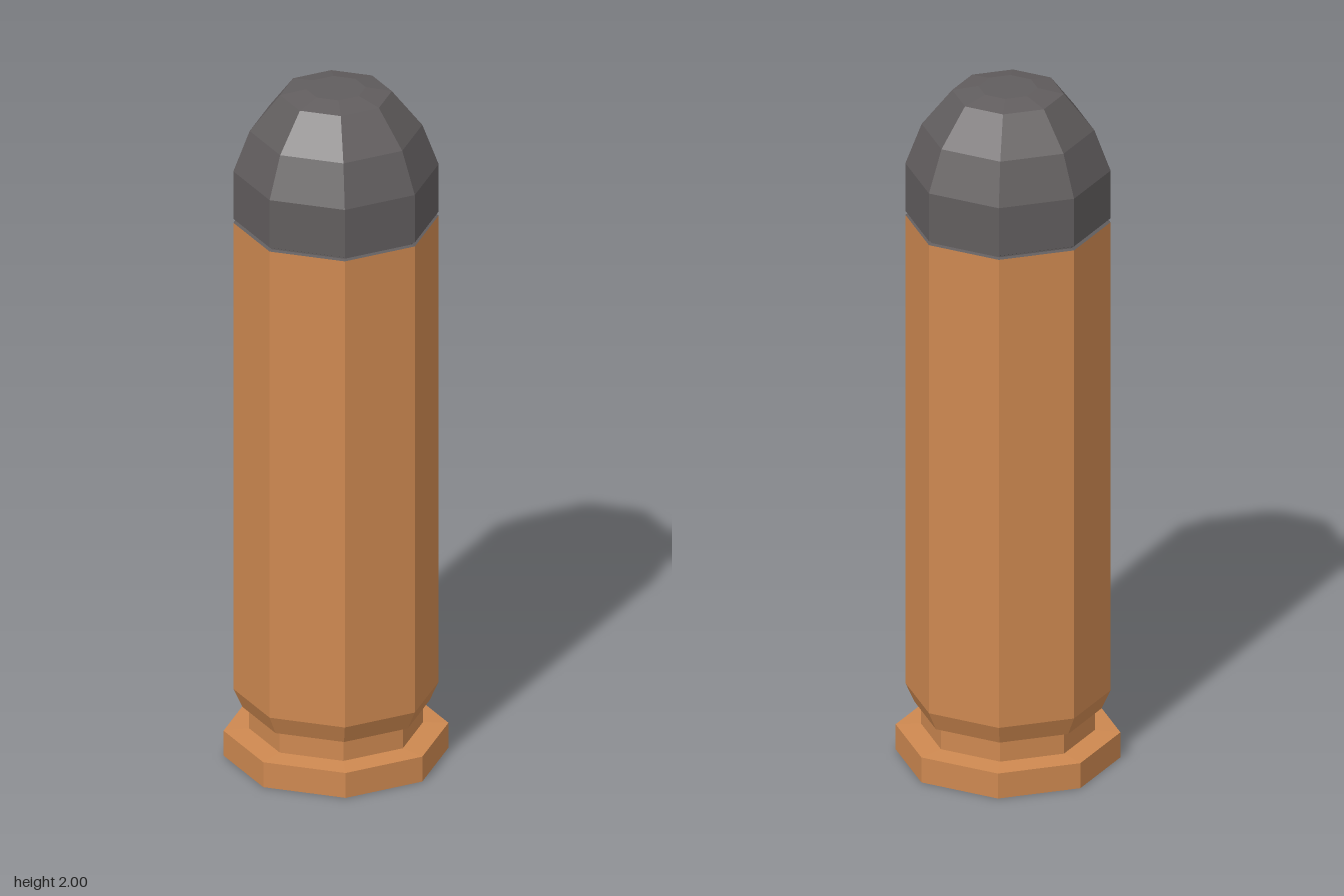
import * as THREE from 'three';

const SIDES = 8;

// Faceted turned part from [radius, height] pairs, listed bottom to top
function turned(name, color, profile) {
  const points = profile.map(([r, y]) => new THREE.Vector2(r, y));
  const mesh = new THREE.Mesh(
    new THREE.LatheGeometry(points, SIDES),
    new THREE.MeshStandardMaterial({ color, flatShading: true })
  );
  mesh.name = name;
  return mesh;
}

export function createModel() {
  const group = new THREE.Group();
  group.name = 'cartridge';
  const brass = 0xcd8850;
  const lead = 0x615d5e;

  // Recessed disc in the middle of the base
  group.add(turned('primer', brass, [[0, 0.02], [0.16, 0.02]]));

  // Rim, extractor groove, bevel and straight wall
  group.add(turned('case', brass, [
    [0.16, 0.02], [0.16, 0], [0.31, 0], [0.31, 0.075],
    [0.24, 0.08], [0.24, 0.14], [0.258, 0.145],
    [0.283, 0.2], [0.283, 1.605],
  ]));

  // Thin seam above the case, then the rounded nose with a flattened top
  group.add(turned('tip', lead, [
    [0.283, 1.605], [0.272, 1.608], [0.272, 1.612], [0.283, 1.617],
    [0.283, 1.76], [0.238, 1.88], [0.154, 1.985], [0.082, 2], [0, 2],
  ]));

  return group;
}
